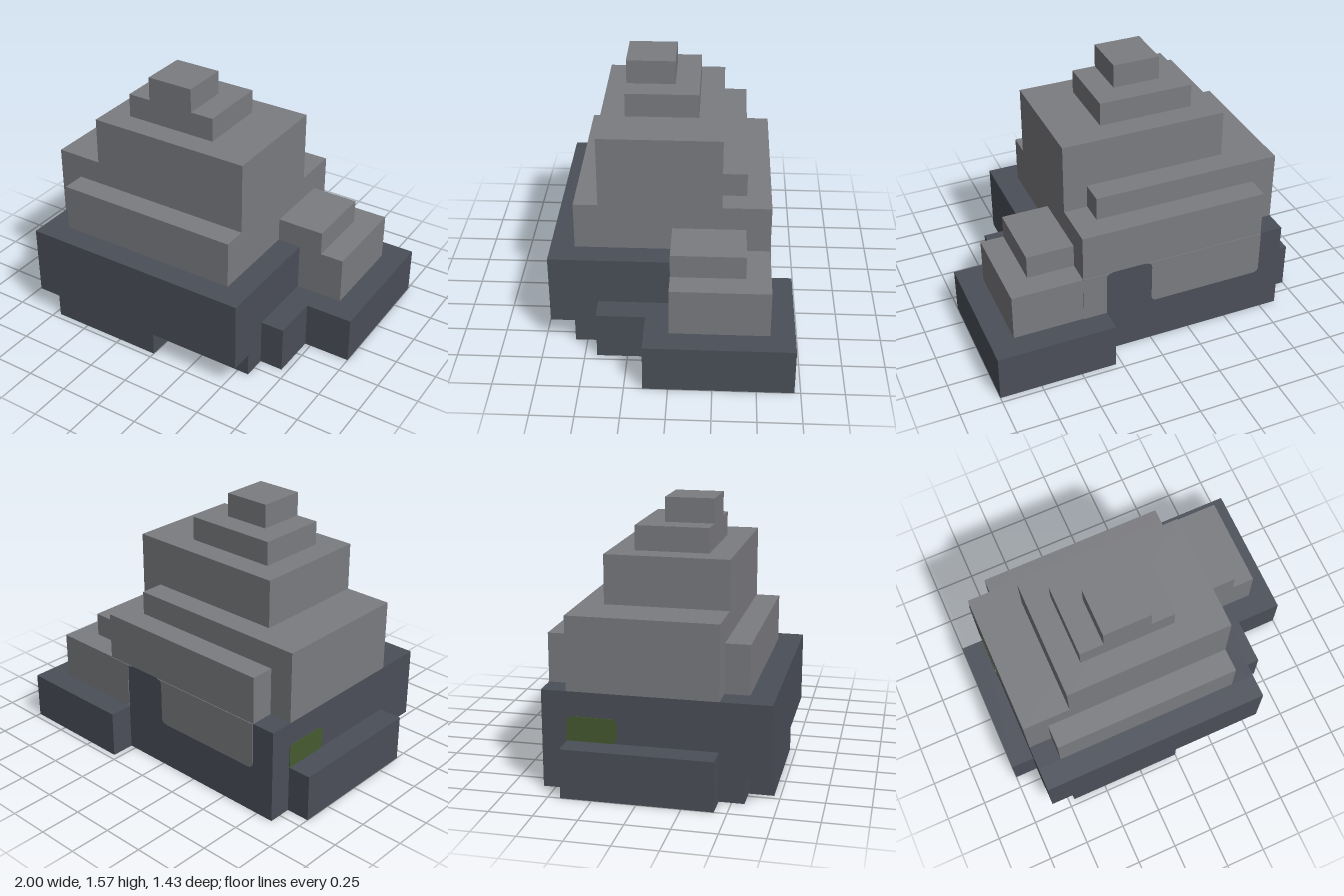
import * as THREE from 'three';

// Built on a block grid; one block is 1/7 of a world unit.
const BLOCK = 1 / 7;

const material = (name, color) => {
  const m = new THREE.MeshStandardMaterial({ color });
  m.name = name;
  return m;
};

export function createModel() {
  const stone = material('grey stone', 0x7b7c80);
  const slate = material('dark slate', 0x4b4f59);
  const moss = material('moss green', 0x465a30);

  const model = new THREE.Group();
  model.name = 'blockMountain';

  const add = (name, geometry, mat) => {
    const mesh = new THREE.Mesh(geometry, mat);
    mesh.name = name;
    model.add(mesh);
    return mesh;
  };

  // Box given by its extents in blocks
  const box = (name, mat, [x0, x1], [y0, y1], [z0, z1]) =>
    add(name, new THREE.BoxGeometry(x1 - x0, y1 - y0, z1 - z0), mat)
      .position.set((x0 + x1) / 2, (y0 + y1) / 2, (z0 + z1) / 2);

  const polygon = (points) => points.map(([x, y]) => new THREE.Vector2(x, y));
  const rect = (x0, x1, z0, z1) => polygon([[x0, z0], [x1, z0], [x1, z1], [x0, z1]]);

  // Horizontal slab from an outline in x and z, with an optional opening
  const slab = (name, outline, y0, y1, hole) => {
    const shape = new THREE.Shape(outline);
    if (hole) shape.holes.push(new THREE.Path(hole));
    const geometry = new THREE.ExtrudeGeometry(shape, { depth: y1 - y0, bevelEnabled: false });
    geometry.rotateX(Math.PI / 2);
    add(name, geometry, slate).position.y = y1;
  };

  // Dark base, open underneath with a stepped hollow
  slab('baseBottom', rect(-6, 4, -4, 4), 0, 1, rect(-3, 3, -3, 2));
  slab('baseMiddle', rect(-6, 4, -4, 4), 1, 2, rect(-2, 2, -2, 1));
  slab('baseTop', polygon([[-6, -4], [3, -4], [3, 0], [4, 0], [4, 4], [-6, 4]]), 2, 4);
  box('frontLedge', slate, [-6, 4], [1, 4], [4, 5]);
  box('frontFoot', slate, [-5, 0], [0, 1], [4, 5]);
  box('rightStep', slate, [-7, -6], [0, 2], [-3, 3]);
  box('leftTerrace', slate, [4, 7], [0, 2], [-5, 1]);
  box('backTerrace', slate, [2, 4], [0, 2], [-5, -4]);
  box('leftStep', slate, [4, 5], [0, 2], [1, 3]);

  // Grey peak
  box('lowerPeak', stone, [-6, 2], [4, 7], [-3, 3]);
  box('frontShelf', stone, [-5, 3], [4, 6], [3, 4]);
  box('backShelf', stone, [-5, 3], [4, 6], [-4, -3]);
  box('peakCorner', stone, [2, 3], [4, 6], [-3, 3]);
  box('middlePeak', stone, [-4, 3], [6, 9], [-2, 3]);
  box('upperPeak', stone, [-3, 1], [9, 10], [-1, 2]);
  box('summit', stone, [-2, 0], [10, 11], [0, 2]);

  // Small outcrop on the left side
  box('outcrop', stone, [3, 6], [2, 4], [-4, 0]);
  box('outcropTop', stone, [3, 5], [4, 5], [-3, 0]);

  // Thin colour patches
  const plate = (name, shape, mat) =>
    add(name, new THREE.ExtrudeGeometry(shape, { depth: 0.03, bevelEnabled: false, curveSegments: 4 }), mat);
  const r = 0.25;

  const wide = new THREE.Shape();
  wide.moveTo(-5, 4);
  wide.lineTo(-5, 2 + r);
  wide.quadraticCurveTo(-5, 2, -5 + r, 2);
  wide.lineTo(-r, 2);
  wide.quadraticCurveTo(0, 2, 0, 2 + r);
  wide.lineTo(0, 4 - r);
  wide.quadraticCurveTo(0, 4, r, 4);
  plate('backPatchWide', wide, stone).position.z = -4.03;

  const narrow = new THREE.Shape();
  narrow.moveTo(3, 2);
  narrow.lineTo(3, 4);
  narrow.lineTo(2 - r, 4);
  narrow.quadraticCurveTo(2, 4, 2, 4 - r);
  narrow.lineTo(2, 2);
  plate('backPatchNarrow', narrow, stone).position.z = -4.03;

  const mossShape = new THREE.Shape();
  mossShape.moveTo(-3, 2);
  mossShape.lineTo(-1 - r, 2);
  mossShape.quadraticCurveTo(-1, 2, -1, 2 + r);
  mossShape.lineTo(-1, 3 - r);
  mossShape.quadraticCurveTo(-1, 3, -1 - r, 3);
  mossShape.lineTo(-3 + r, 3);
  mossShape.quadraticCurveTo(-3, 3, -3, 3 - r);
  const mossPatch = plate('mossPatch', mossShape, moss);
  mossPatch.rotation.y = -Math.PI / 2;
  mossPatch.position.x = -6;

  model.scale.setScalar(BLOCK);
  return model;
}
